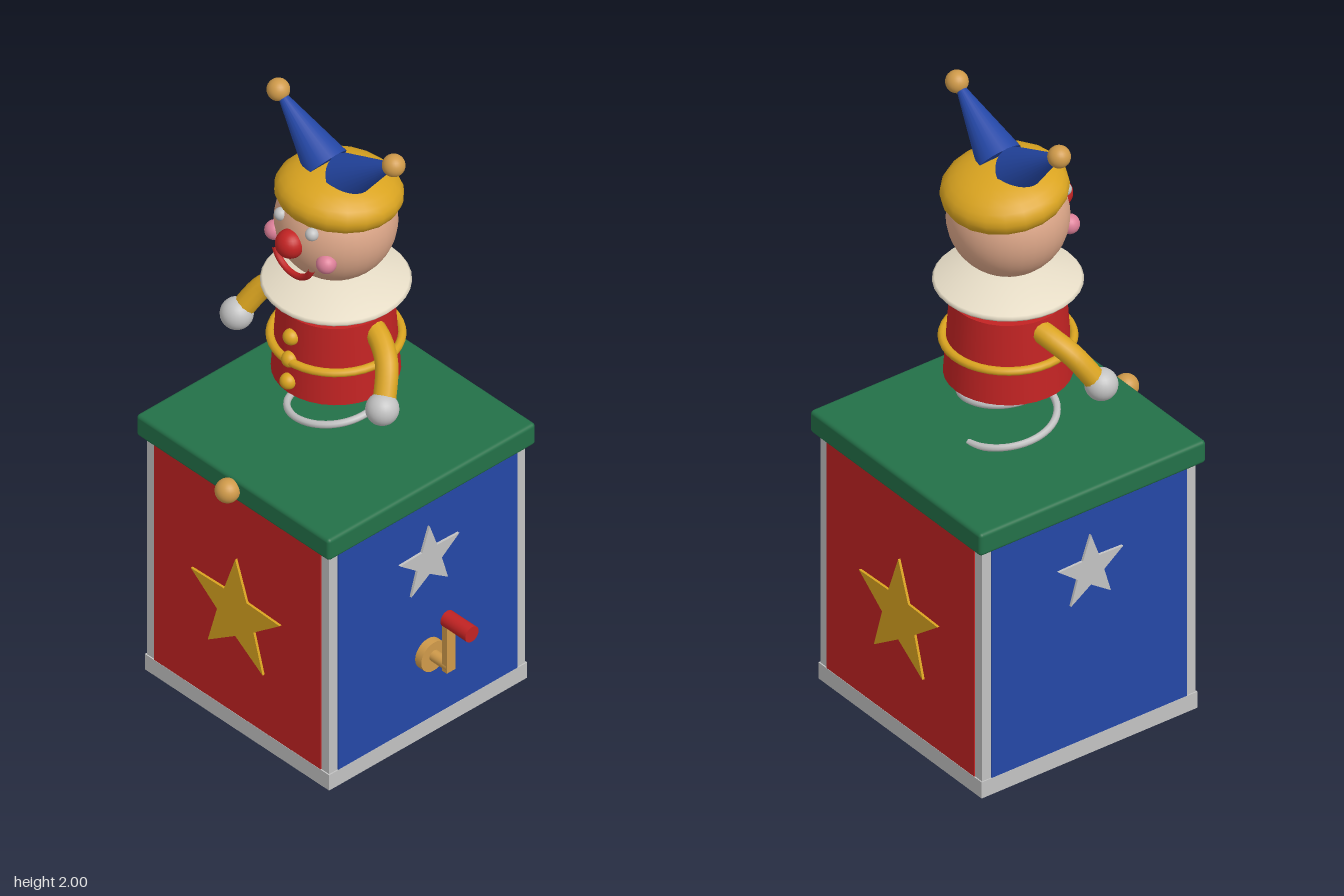
import * as THREE from 'three';
import { RoundedBoxGeometry } from 'three/addons/geometries/RoundedBoxGeometry.js';

const mat = (name, color) => {
  const m = new THREE.MeshStandardMaterial({ color });
  m.name = name;
  return m;
};

export function createModel() {
  const red = mat('red', 0xc22323), blue = mat('blue', 0x2447a6), green = mat('green', 0x237048);
  const yellow = mat('yellow', 0xdaa420), brass = mat('brass', 0xcf9a4a), silver = mat('silver', 0xc2c2c2);
  const cream = mat('cream', 0xe6dcc6), skin = mat('skin', 0xdca688), pink = mat('pink', 0xdc7f98);

  // Everything is built around the box axis, then shifted into place
  const root = new THREE.Group();
  root.name = 'jackInTheBox';
  root.position.set(-0.083, 0, -0.026);
  const model = new THREE.Group();
  model.add(root);

  const add = (name, geo, material, x = 0, y = 0, z = 0, parent = root) => {
    const m = new THREE.Mesh(geo, material);
    m.name = name;
    m.position.set(x, y, z);
    parent.add(m);
    return m;
  };
  const ball = (name, r, material, x, y, z) =>
    add(name, new THREE.SphereGeometry(r, 24, 16), material, x, y, z);
  const lathe = (pts) => new THREE.LatheGeometry(pts.map(([r, y]) => new THREE.Vector2(r, y)), 32);

  const star = (R) => {
    const s = new THREE.Shape();
    for (let i = 0; i < 10; i++) {
      const r = i % 2 ? R * 0.41 : R, a = Math.PI / 2 + (i * Math.PI) / 5;
      s[i ? 'lineTo' : 'moveTo'](r * Math.cos(a), r * Math.sin(a));
    }
    s.closePath();
    return new THREE.ExtrudeGeometry(s, { depth: 0.009, bevelEnabled: false });
  };

  // Box: base slab, frame body, four inset panels with stars
  add('base', new THREE.BoxGeometry(0.77, 0.055, 0.77), silver, 0, 0.0275);
  add('frame', new THREE.BoxGeometry(0.762, 0.79, 0.762), silver, 0, 0.445);
  for (let i = 0; i < 4; i++) {
    const side = new THREE.Group();
    side.name = ['frontSide', 'leftSide', 'backSide', 'rightSide'][i];
    side.rotation.y = (i * Math.PI) / 2;
    root.add(side);
    const wide = i % 2 === 0;
    add('panel', new THREE.BoxGeometry(0.697, 0.785, 0.006), wide ? red : blue, 0, 0.4475, 0.381, side);
    add('star', star(wide ? 0.195 : 0.121), wide ? yellow : silver, 0, wide ? 0.422 : 0.631, 0.383, side);
  }

  // Lid and its knob
  add('lid', new RoundedBoxGeometry(0.807, 0.076, 0.807, 3, 0.012), green, 0, 0.88);
  ball('lidKnob', 0.037, brass, 0, 0.882, 0.422);

  // Crank on the left side
  const rod = (name, r, x0, x1, y, material) => {
    const m = add(name, new THREE.CylinderGeometry(r, r, x1 - x0, 24), material, (x0 + x1) / 2, y);
    m.rotation.z = Math.PI / 2;
  };
  rod('crankPlate', 0.05, 0.38, 0.41, 0.294, brass);
  rod('crankShaft', 0.018, 0.4, 0.478, 0.298, brass);
  add('crankArm', new THREE.BoxGeometry(0.019, 0.19, 0.033), brass, 0.471, 0.375);
  rod('crankHandle', 0.026, 0.464, 0.568, 0.463, red);

  // Coil spring rising into the body
  const coil = [];
  for (let i = 0; i <= 48; i++) {
    const a = (i / 24) * Math.PI * 2;
    coil.push(new THREE.Vector3(-0.14 * Math.sin(a), 0.915 + (i / 24) * 0.146, -0.14 * Math.cos(a)));
  }
  add('spring', new THREE.TubeGeometry(new THREE.CatmullRomCurve3(coil), 120, 0.011, 8), silver);

  // Body, belt and buttons
  add('body', new THREE.CylinderGeometry(0.168, 0.186, 0.26, 32), red, 0, 1.24);
  const belt = add('belt', new THREE.TorusGeometry(0.188, 0.013, 10, 40), yellow, 0, 1.228);
  belt.rotation.x = Math.PI / 2;
  [1.305, 1.228, 1.152].forEach((y, i) => ball('button', 0.025, yellow, 0, y, 0.174 + i * 0.006));

  // Ruffled collar and neck
  add('neck', new THREE.CylinderGeometry(0.07, 0.07, 0.16, 24), cream, 0, 1.42);
  add('collar', lathe([[0, 1.385], [0.12, 1.385], [0.21, 1.413], [0.217, 1.422], [0.21, 1.43], [0.1, 1.47], [0, 1.475]]), cream);

  // Arms and hands
  for (const s of [-1, 1]) {
    const path = new THREE.CatmullRomCurve3([
      [0.13, 1.335, -0.01], [0.2, 1.312, 0.01], [0.255, 1.275, 0.04], [0.302, 1.185, 0.095],
    ].map(([x, y, z]) => new THREE.Vector3(s * x, y, z)));
    add('arm', new THREE.TubeGeometry(path, 16, 0.034, 12), yellow);
    ball('hand', 0.049, silver, s * 0.304, 1.18, 0.103);
  }

  // Head and hair
  add('head', new THREE.SphereGeometry(0.178, 32, 24), skin, 0, 1.64);
  const hair = add('hair', new THREE.SphereGeometry(0.187, 20, 16), yellow, 0, 1.736, -0.012);
  hair.scale.y = 0.48;
  hair.rotation.x = -0.12;

  // Face
  ball('nose', 0.044, red, 0, 1.643, 0.178);
  for (const s of [-1, 1]) {
    ball('eye', 0.02, silver, s * 0.065, 1.7, 0.154);
    ball('cheek', 0.03, pink, s * 0.108, 1.61, 0.138);
  }
  const arc = Math.PI * 0.82;
  const mouth = add('mouth', new THREE.TorusGeometry(0.08, 0.01, 10, 30, arc), red, 0, 1.607, 0.166);
  mouth.rotation.z = -Math.PI / 2 - arc / 2;

  // Two-pointed hat with pompoms
  for (const s of [-1, 1]) {
    const tip = new THREE.Vector3(s * 0.241, 1.967, 0), foot = new THREE.Vector3(s * 0.042, 1.812, 0);
    const dir = tip.clone().sub(foot);
    const mid = tip.clone().add(foot).multiplyScalar(0.5);
    const horn = add('hatPoint', new THREE.CylinderGeometry(0.008, 0.07, dir.length(), 24), blue, mid.x, mid.y, mid.z);
    horn.quaternion.setFromUnitVectors(new THREE.Vector3(0, 1, 0), dir.normalize());
    ball('pompom', 0.034, brass, tip.x, tip.y, tip.z);
  }
  return model;
}
